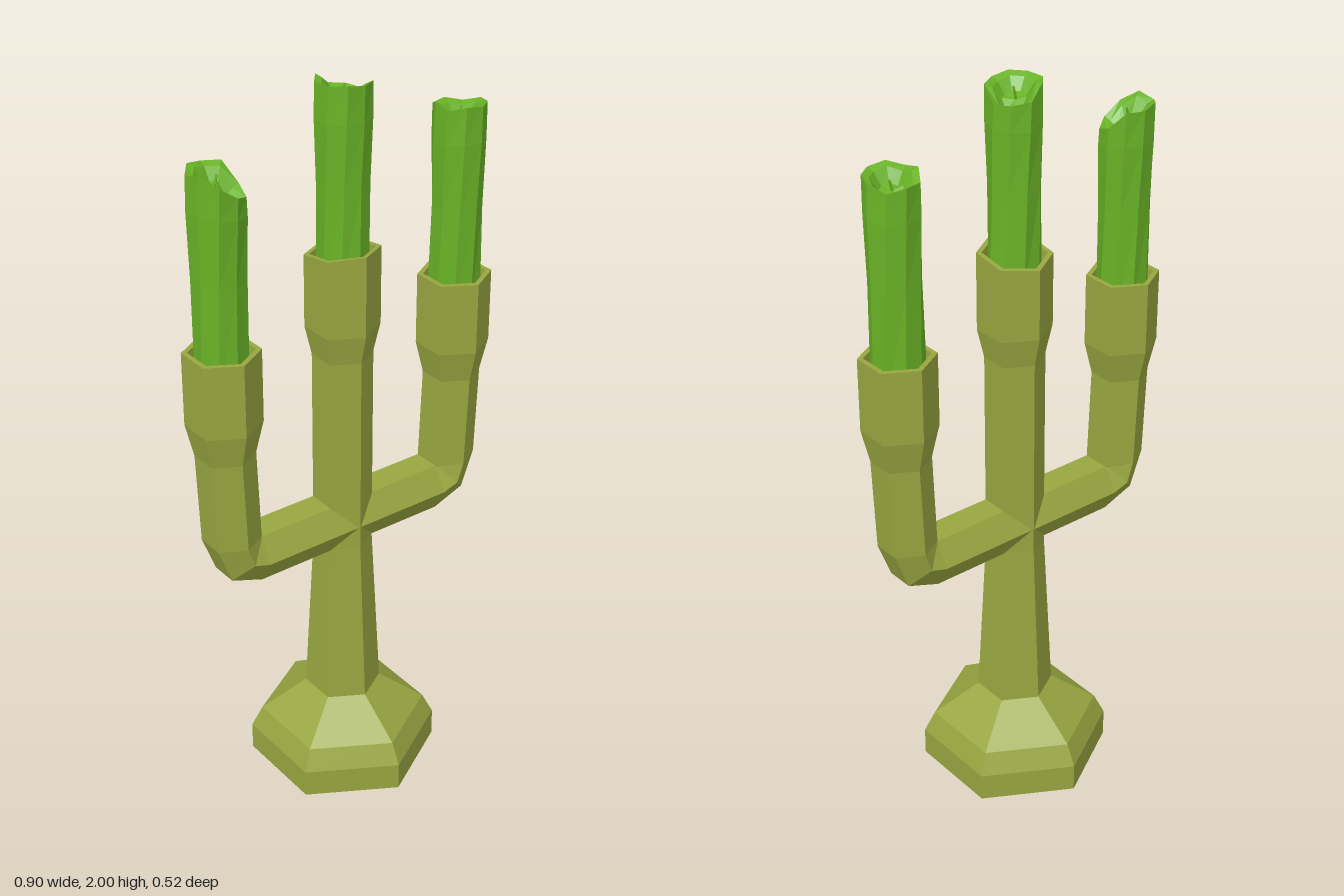
import * as THREE from 'three';

const V = (x, y, z) => new THREE.Vector3(x, y, z);

// Skin a list of rings with quads and close both ends with fans.
function loft(rings) {
  const pos = [];
  const tri = (...pts) => pts.forEach(p => pos.push(p.x, p.y, p.z));
  const n = rings[0].length;
  const middle = ring => ring.reduce((m, p) => m.add(p), V(0, 0, 0)).divideScalar(n);
  for (let i = 0; i < rings.length - 1; i++) {
    for (let j = 0; j < n; j++) {
      const k = (j + 1) % n;
      const a = rings[i][j], b = rings[i][k], c = rings[i + 1][k], d = rings[i + 1][j];
      tri(a, b, c);
      tri(a, c, d);
    }
  }
  const first = rings[0], last = rings[rings.length - 1];
  const m0 = middle(first), m1 = middle(last);
  for (let j = 0; j < n; j++) {
    const k = (j + 1) % n;
    tri(m0, first[k], first[j]);
    tri(m1, last[j], last[k]);
  }
  const g = new THREE.BufferGeometry();
  g.setAttribute('position', new THREE.Float32BufferAttribute(pos, 3));
  g.computeVertexNormals();
  return g;
}

// Hexagon around (x, y); 'turn' is the angle of its outer side in the xy plane.
function hexRing(x, y, r, turn = 0, tilt = 0) {
  return Array.from({ length: 6 }, (_, j) => {
    const t = j * Math.PI / 3, u = Math.sin(t) * r, z = Math.cos(t) * r;
    return V(x + u * Math.cos(turn), y + u * Math.sin(turn) + z * tilt, z);
  });
}

// Nine-sided candle with an uneven, hollowed top that dips towards angle 'dir'.
function candleGeometry(bottom, top, dip, dir, seed) {
  const n = 9;
  const ring = (r, y, twist, drop) => Array.from({ length: n }, (_, j) => {
    const t = j / n * Math.PI * 2 + twist;
    const rr = r * (1 + 0.03 * Math.sin(j * 2.4 + seed + y * 5));
    const low = Math.max(0, Math.cos(t - dir)) * dip + 0.006 * (1 + Math.sin(j * 2.9 + seed));
    return V(Math.sin(t) * rr, y - low * drop, Math.cos(t) * rr);
  });
  return loft([
    ring(0.069, bottom, 0, 0),
    ring(0.067, (bottom + top) / 2, 0.12, 0),
    ring(0.071, top - 0.1, 0.2, 0.3),
    ring(0.070, top, 0.25, 1),
    ring(0.052, top - 0.008, 0.25, 1),
    ring(0.030, top - 0.04, 0.25, 0.7),
  ]);
}

export function createModel() {
  const model = new THREE.Group();
  const olive = new THREE.MeshStandardMaterial({ color: 0x98a640, flatShading: true });
  olive.name = 'olive metal';
  const green = new THREE.MeshStandardMaterial({ color: 0x69b226, flatShading: true });
  green.name = 'green wax';

  const add = (name, geometry, material) => {
    const mesh = new THREE.Mesh(geometry, material);
    mesh.name = name;
    model.add(mesh);
    return mesh;
  };

  // Foot, stem and middle socket: [height, radius, tilt]
  const stem = [
    [0, 0.26], [0.08, 0.26], [0.14, 0.23], [0.23, 0.104], [0.71, 0.079], [1.27, 0.079],
    [1.35, 0.097], [1.555, 0.097, 0.15], [1.555, 0.083, 0.15], [1.5, 0.079],
  ];
  add('footAndStem', loft(stem.map(([y, r, tilt]) => hexRing(0, y, r, 0, tilt))), olive);

  // Side arms with sockets: [x, y, radius, turn]
  const arm = [
    [0, 0.775, 0.077, -Math.PI / 2], [0.29, 0.775, 0.077, -Math.PI / 2],
    [0.336, 0.79, 0.077, -Math.PI / 4], [0.355, 0.845, 0.077, 0],
    [0.365, 1.1, 0.077, 0], [0.365, 1.19, 0.098, 0], [0.365, 1.39, 0.098, 0],
    [0.365, 1.39, 0.083, 0], [0.365, 1.33, 0.079, 0],
  ];
  const armGeometry = loft(arm.map(a => hexRing(...a)));
  add('leftArm', armGeometry, olive);
  add('rightArm', armGeometry, olive).rotation.y = Math.PI;

  // Candles and wicks: [name, x, bottom, top, dip, dip direction]
  const candles = [
    ['left', 0.365, 1.3, 1.866, 0.02, 2.6],
    ['middle', 0, 1.47, 2.005, 0.045, 2.2],
    ['right', -0.365, 1.3, 1.866, 0.07, 0.9],
  ];
  candles.forEach(([name, x, bottom, top, dip, dir], i) => {
    add(name + 'Candle', candleGeometry(bottom, top, dip, dir, i * 1.7), green).position.x = x;
    const wick = add(name + 'Wick', new THREE.CylinderGeometry(0.003, 0.004, 0.04, 5), green);
    wick.position.set(x, top - 0.04, 0);
    wick.rotation.z = -0.25;
  });

  return model;
}
